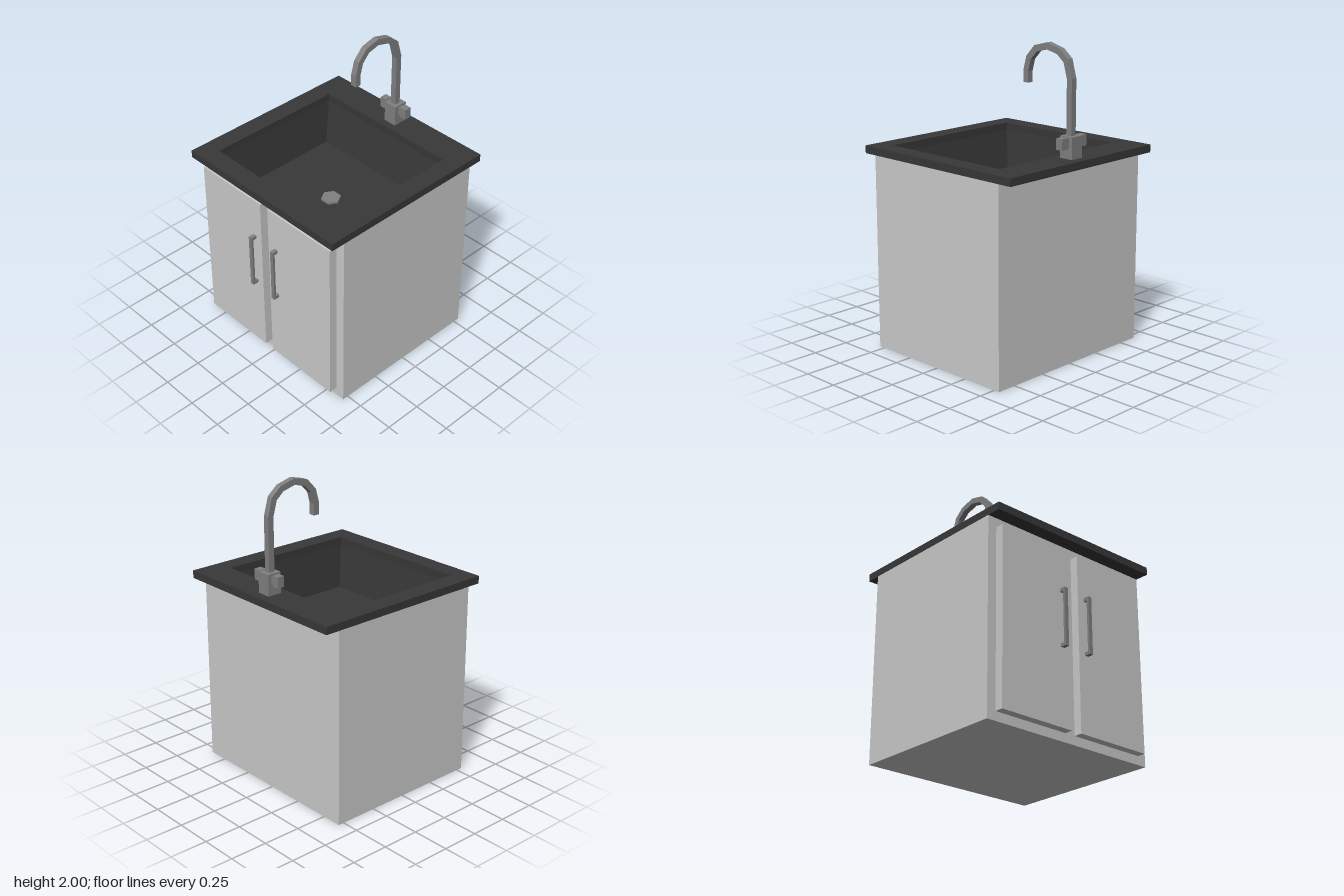
import * as THREE from 'three';

const mat = (color, side = THREE.FrontSide) =>
  new THREE.MeshStandardMaterial({ color, side, flatShading: true });

export function createModel() {
  const root = new THREE.Group();
  root.name = 'sinkCabinet';
  const white = mat(0xcccccc);
  const stone = mat(0x383838, THREE.DoubleSide);
  const steel = mat(0x808080);

  const add = (name, geometry, material, parent = root) => {
    const mesh = new THREE.Mesh(geometry, material);
    mesh.name = name;
    parent.add(mesh);
    return mesh;
  };
  // Box given by its extents along each axis
  const box = (name, [x0, x1], [y0, y1], [z0, z1], material, parent) => {
    const g = new THREE.BoxGeometry(Math.abs(x1 - x0), y1 - y0, z1 - z0);
    g.translate((x0 + x1) / 2, (y0 + y1) / 2, (z0 + z1) / 2);
    return add(name, g, material, parent);
  };

  // Cabinet body, open at the top so that the basin can sit inside
  const body = box('cabinet', [-0.635, 0.635], [0, 1.27], [-0.54, 0.54], white);
  const faces = Array.from(body.geometry.index.array);
  faces.splice(12, 6);
  body.geometry.setIndex(faces);
  body.geometry.clearGroups();

  // Doors with bar handles
  for (const s of [-1, 1]) {
    const door = new THREE.Group();
    door.name = s > 0 ? 'leftDoor' : 'rightDoor';
    root.add(door);
    box('doorPanel', [s * 0.037, s * 0.573], [0.058, 1.208], [0.54, 0.595], white, door);
    const hx = [s * 0.086, s * 0.112];
    box('handleBar', hx, [0.56, 0.938], [0.62, 0.635], steel, door);
    for (const y of [0.56, 0.916])
      box('handlePost', hx, [y, y + 0.022], [0.593, 0.62], steel, door);
  }

  // Countertop with the basin opening; shape y runs along -z
  const hole = [[-0.513, -0.51], [0.513, -0.51], [0.513, 0.428], [-0.513, 0.428]];
  const top = new THREE.Shape([[-0.635, -0.633], [0.635, -0.633], [0.635, 0.635], [-0.635, 0.635]]
    .map(p => new THREE.Vector2(...p)));
  top.holes.push(new THREE.Path(hole.map(p => new THREE.Vector2(...p))));
  const slab = new THREE.ExtrudeGeometry(top, { depth: 0.05, bevelEnabled: false });
  slab.rotateX(-Math.PI / 2).translate(0, 1.27, 0);
  add('countertop', slab, stone);

  // Basin: tapered walls and a flat floor
  const floorY = 0.98;
  const upper = hole.map(([x, y]) => [x, 1.27, -y]);
  const lower = [[-0.48, 0.47], [0.48, 0.47], [0.48, -0.373], [-0.48, -0.373]]
    .map(([x, z]) => [x, floorY, z]);
  const pos = [];
  const quad = (a, b, c, d) => pos.push(...a, ...b, ...c, ...a, ...c, ...d);
  for (let i = 0; i < 4; i++) {
    const j = (i + 1) % 4;
    quad(upper[j], upper[i], lower[i], lower[j]);
  }
  quad(...lower);
  const basin = new THREE.BufferGeometry();
  basin.setAttribute('position', new THREE.Float32BufferAttribute(pos, 3));
  basin.computeVertexNormals();
  add('basin', basin, stone);

  // Hexagonal drain
  const drain = new THREE.CylinderGeometry(0.065, 0.065, 0.02, 6);
  drain.rotateY(Math.PI / 2).translate(0, floorY + 0.005, 0.04);
  add('drain', drain, steel);

  // Faucet base and side knobs
  const faucet = new THREE.Group();
  faucet.name = 'faucet';
  root.add(faucet);
  box('faucetBase', [-0.046, 0.046], [1.32, 1.457], [-0.575, -0.48], steel, faucet);
  for (const s of [-1, 1]) {
    box('knobStem', [s * 0.046, s * 0.062], [1.39, 1.445], [-0.55, -0.508], steel, faucet);
    box('knob', [s * 0.062, s * 0.11], [1.383, 1.453], [-0.554, -0.506], steel, faucet);
  }

  // Square-section spout: (z, y) centreline offset to both sides
  const line = [[-0.525, 1.45], [-0.525, 1.8], [-0.495, 1.905], [-0.435, 1.955], [-0.34, 1.98],
    [-0.25, 1.957], [-0.192, 1.895], [-0.17, 1.815], [-0.17, 1.74]]
    .map(p => new THREE.Vector2(...p));
  const half = 0.02;
  const offset = side => line.map((p, i) => {
    const a = p.clone().sub(line[Math.max(i - 1, 0)]).normalize();
    const b = line[Math.min(i + 1, line.length - 1)].clone().sub(p).normalize();
    const t = a.clone().add(b).normalize();
    const mitre = half / Math.max(t.dot(i ? a : b), 0.5);
    return new THREE.Vector2(p.x - t.y * mitre * side, p.y + t.x * mitre * side);
  });
  const outline = new THREE.Shape([...offset(1), ...offset(-1).reverse()]);
  const spout = new THREE.ExtrudeGeometry(outline, { depth: 2 * half, bevelEnabled: false });
  spout.rotateY(-Math.PI / 2).translate(half, 0, 0);
  add('spout', spout, steel, faucet);

  return root;
}
